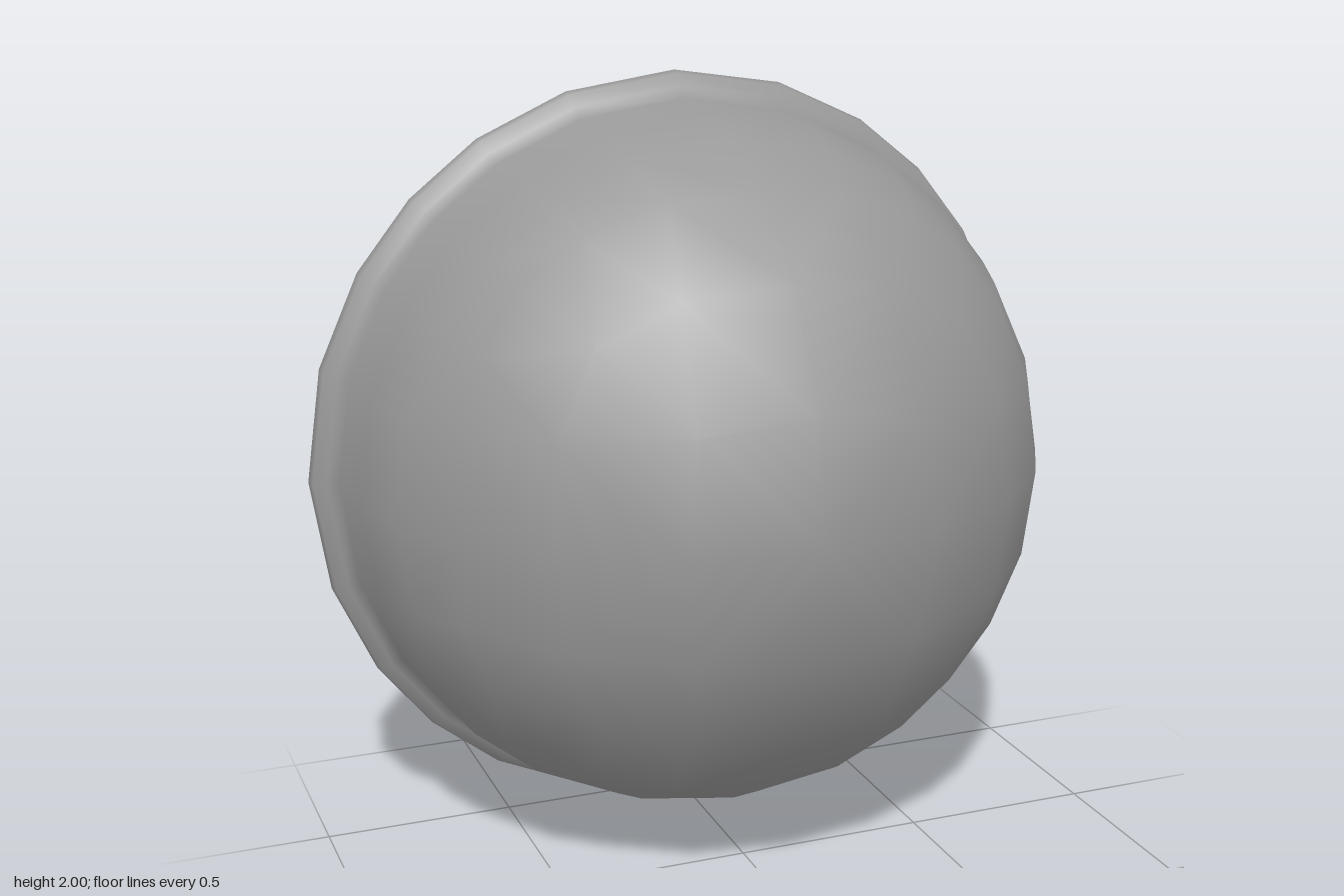
import * as THREE from 'three';

const N = 3;              // grid half-width of the dome cap (24 sides at its edge)
const CENTRE_Z = -0.405;  // centre of the dome's sphere
const rad = THREE.MathUtils.degToRad;

// Polar angles of the square rings: middle of a side, and corner
const MID = [0, 19.6, 39.2, 56.5];
const CORNER = [0, 25, 45, 61];

// Unit direction in the xy plane for grid point (i, j), square rounded to circle
function around(i, j) {
  const a = Math.abs(i), b = Math.abs(j), m = Math.max(a, b);
  if (m === 0) return { x: 0, y: 0, m, t: 0 };
  const t = Math.min(a, b) / m;
  const angle = rad(54 * t - 9 * t * t);
  const c = Math.cos(angle), s = Math.sin(angle);
  return { x: Math.sign(i) * (a >= b ? c : s), y: Math.sign(j) * (a >= b ? s : c), m, t };
}

// Grid points along the cap's edge, counter-clockwise from the front
function edgeLoop() {
  const loop = [];
  for (let k = -N; k < N; k++) loop.push([N, k]);
  for (let k = N; k > -N; k--) loop.push([k, N]);
  for (let k = N; k > -N; k--) loop.push([-N, k]);
  for (let k = -N; k < N; k++) loop.push([k, -N]);
  return loop;
}

function bowlGeometry() {
  const positions = [], index = [];
  const add = (x, y, z) => positions.push(x, y + 1, z) / 3 - 1;
  const quad = (a, b, c, d) => index.push(a, b, c, a, c, d);
  const loop = edgeLoop();

  // Rounded cap on a sphere; returns its edge loop
  function cap(radius, inside) {
    const ids = {};
    for (let j = -N; j <= N; j++) for (let i = -N; i <= N; i++) {
      const p = around(i, j);
      const polar = rad(THREE.MathUtils.lerp(MID[p.m], CORNER[p.m], p.t));
      const r = radius * Math.sin(polar);
      ids[[i, j]] = add(p.x * r, p.y * r, CENTRE_Z + radius * Math.cos(polar));
    }
    for (let j = -N; j < N; j++) for (let i = -N; i < N; i++) {
      let corners = [ids[[i, j]], ids[[i + 1, j]], ids[[i + 1, j + 1]], ids[[i, j + 1]]];
      // Diagonals run outwards from the middle in all four quarters
      if ((i >= 0) !== (j >= 0)) corners = [...corners.slice(1), corners[0]];
      if (inside) corners.reverse();
      quad(...corners);
    }
    return loop.map((g) => ids[g]);
  }

  // Wall and rolled rim from outside to inside: radius, z, drop at the corners
  const profile = [
    [0.87, -0.07, 0.02], [0.922, -0.23, 0.01], [0.932, -0.425, 0],
    [0.962, -0.442, 0], [0.993, -0.465, 0], [1.0, -0.485, 0], [0.982, -0.515, 0],
    [0.952, -0.525, 0], [0.91, -0.515, 0], [0.878, -0.485, 0],
    [0.868, -0.42, 0], [0.862, -0.23, 0.01], [0.818, -0.085, 0.02],
  ];
  const rings = [cap(0.928, false)];
  for (const [r, z, drop] of profile) {
    rings.push(loop.map(([i, j]) => {
      const p = around(i, j);
      return add(p.x * r, p.y * r, z - drop * p.t);
    }));
  }
  rings.push(cap(0.876, true));

  // Join neighbouring rings
  for (let n = 0; n < rings.length - 1; n++) {
    const p = rings[n], q = rings[n + 1];
    for (let k = 0; k < p.length; k++) {
      const l = (k + 1) % p.length;
      quad(p[k], q[k], q[l], p[l]);
    }
  }

  const geometry = new THREE.BufferGeometry();
  geometry.setAttribute('position', new THREE.Float32BufferAttribute(positions, 3));
  geometry.setIndex(index);
  geometry.computeVertexNormals();
  return geometry;
}

export function createModel() {
  const model = new THREE.Group();
  model.name = 'bowl';
  const shell = new THREE.Mesh(
    bowlGeometry(),
    new THREE.MeshStandardMaterial({ color: 0x999999 }),
  );
  shell.name = 'domeWithRolledRim';
  model.add(shell);
  return model;
}
